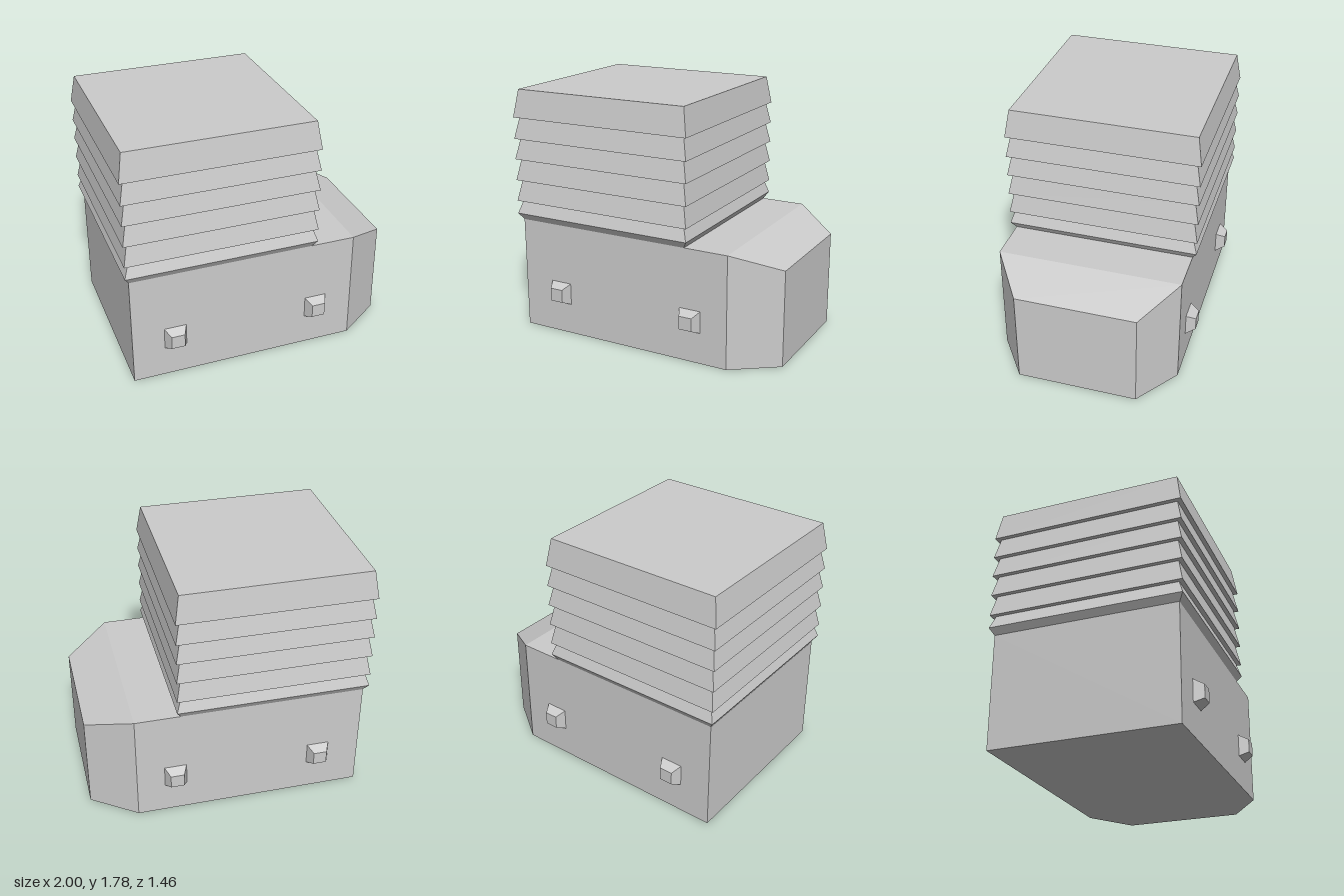
import * as THREE from 'three';

const material = new THREE.MeshStandardMaterial({ color: 0xcccccc, flatShading: true });

// Rectangular cross-section at height y
const rect = (y, x0, x1, z0, z1) => [[x0, y, z1], [x1, y, z1], [x1, y, z0], [x0, y, z0]];

// Flat-sided solid through rectangles stacked along local y
function loft(name, rings, capStart = false) {
  const points = [];
  const quad = (a, b, c, d) => points.push(...a, ...b, ...c, ...a, ...c, ...d);
  for (let r = 0; r < rings.length - 1; r++) {
    for (let i = 0; i < 4; i++) {
      const j = (i + 1) % 4;
      quad(rings[r][i], rings[r][j], rings[r + 1][j], rings[r + 1][i]);
    }
  }
  quad(...rings[rings.length - 1]);
  if (capStart) quad(...[...rings[0]].reverse());
  const geometry = new THREE.BufferGeometry();
  geometry.setAttribute('position', new THREE.Float32BufferAttribute(points, 3));
  geometry.computeVertexNormals();
  const mesh = new THREE.Mesh(geometry, material);
  mesh.name = name;
  return mesh;
}

export function createModel() {
  const model = new THREE.Group();
  model.name = 'louvredTowerBlock';

  // Base block with a tapered nose, lofted along x
  const base = loft('base', [
    rect(-0.97, -0.825, 0, -0.66, 0.66),
    rect(0.68, -0.825, 0, -0.66, 0.66),
    rect(1, -0.70, 0, -0.435, 0.435),
  ], true);
  base.rotation.z = -Math.PI / 2;
  model.add(base);

  // Tower of overlapping slanted tiers
  const inner = (y) => rect(y, -0.968, 0.355, -0.66, 0.66);
  const outer = (y) => rect(y, -1, 0.386, -0.692, 0.692);
  const levels = [0.875, 0.97, 1.125, 1.28, 1.43, 1.585, 1.785];
  const rings = [inner(0.825)];
  for (let i = 0; i < levels.length - 1; i++) {
    rings.push(outer(levels[i]), inner(levels[i + 1]));
  }
  model.add(loft('louvredTower', rings));

  // Bevelled studs on the front and back walls
  for (const side of [1, -1]) {
    for (const x of [-0.66, 0.4]) {
      const stud = loft(side > 0 ? 'frontStud' : 'backStud', [
        rect(0, -0.08, 0.08, -0.08, 0.08),
        rect(0.068, -0.048, 0.048, -0.048, 0.048),
      ]);
      stud.position.set(x, 0.307, side * 0.66);
      stud.rotation.x = side * Math.PI / 2;
      model.add(stud);
    }
  }
  return model;
}
